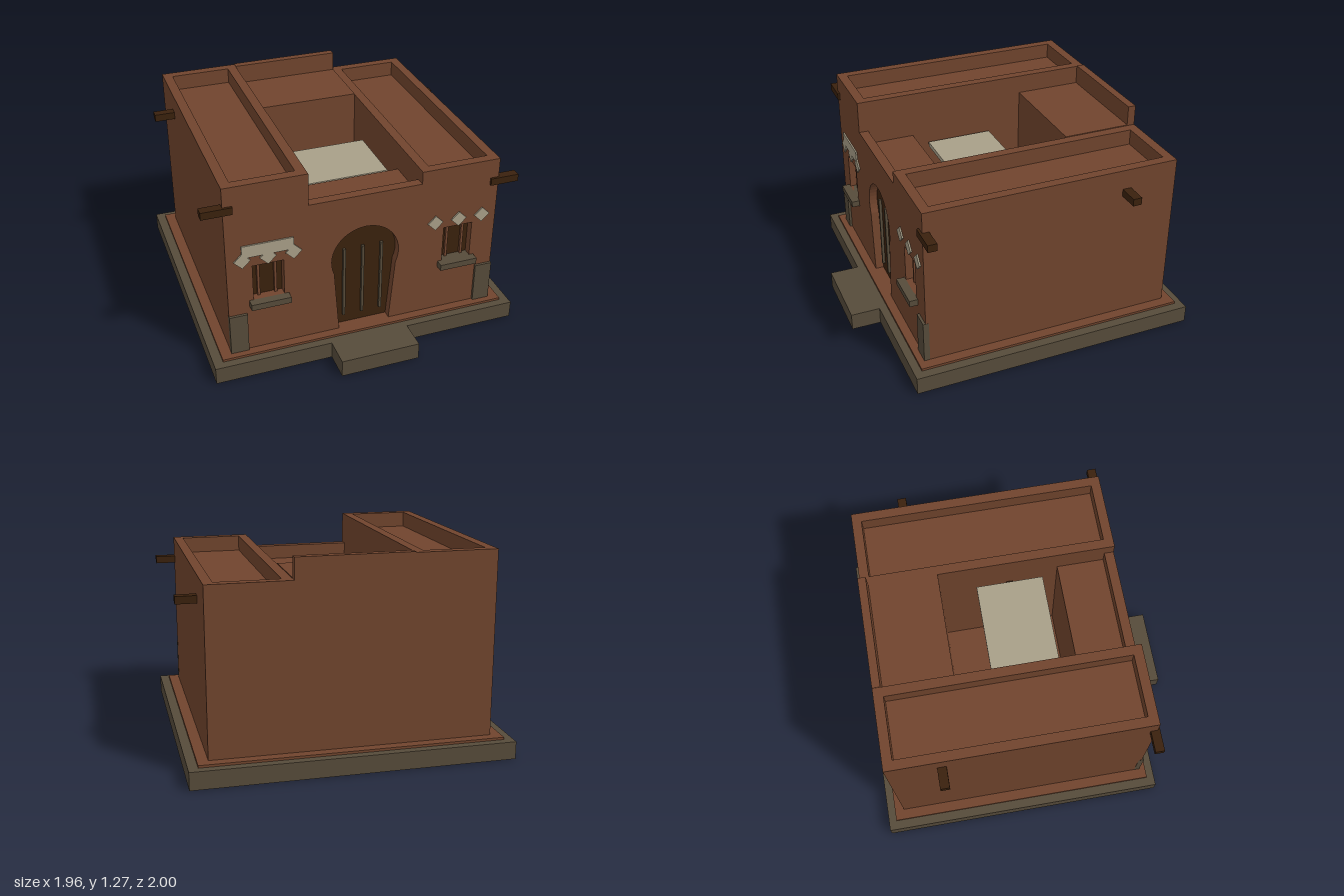
import * as THREE from 'three';

const mat = (name, color) => {
  const m = new THREE.MeshStandardMaterial({ color });
  m.name = name;
  return m;
};

export function createModel() {
  const clay = mat('clay', 0x70442d);
  const stone = mat('stone', 0x564b3a);
  const wood = mat('dark wood', 0x3a210d);
  const plaster = mat('pale plaster', 0xa89f88);
  const house = new THREE.Group();
  house.name = 'adobeHouse';

  const add = (name, geo, material) => {
    const mesh = new THREE.Mesh(geo, material);
    mesh.name = name;
    house.add(mesh);
    return mesh;
  };
  // Box given by its extents along each axis
  const box = (name, m, x0, x1, y0, y1, z0, z1) =>
    add(name, new THREE.BoxGeometry(x1 - x0, y1 - y0, z1 - z0), m)
      .position.set((x0 + x1) / 2, (y0 + y1) / 2, (z0 + z1) / 2);
  const extrude = (name, m, shape, z0, z1) =>
    add(name, new THREE.ExtrudeGeometry(shape, { depth: z1 - z0, bevelEnabled: false }), m).position.z = z0;
  const polygon = (pts) => new THREE.Shape(pts.map(([x, y]) => new THREE.Vector2(x, y)));

  const FLOOR = 0.125, BACK = -0.89, FRONT = 0.71, INNER = 0.65;
  const L = -0.355, R = 0.35, SIDE = 0.855;

  // Foundation, front step and clay plinth
  box('foundation', stone, -0.978, 0.978, 0, 0.11, -1, 0.815);
  box('frontStep', stone, -0.25, 0.25, 0, 0.11, 0.815, 1);
  box('plinth', clay, -0.92, 0.92, 0.11, FLOOR, -0.95, 0.765);

  // Keyhole doorway outline
  const doorPts = [[-0.165, FLOOR], [0.165, FLOOR]];
  for (let i = 0; i <= 28; i++) {
    const a = -0.4 + (i / 28) * (Math.PI + 0.8);
    doorPts.push([0.215 * Math.cos(a), 0.627 + 0.215 * Math.sin(a)]);
  }
  const windowPts = (x) => [[x - 0.095, 0.48], [x + 0.095, 0.48], [x + 0.095, 0.72], [x - 0.095, 0.72]];

  // Stepped facade with door and window openings
  const facade = polygon([[-SIDE, 0.115], [SIDE, 0.115], [SIDE, 1.14], [R, 1.14], [R, 1.06],
    [L, 1.06], [L, 1.265], [-SIDE, 1.265]]);
  facade.holes.push(polygon(doorPts));
  for (const x of [-0.605, 0.605]) facade.holes.push(polygon(windowPts(x)));
  extrude('facade', clay, facade, INNER, FRONT);

  // Side wings with parapets around sunken roofs
  const wing = (name, x0, x1, top) => {
    const roof = top - 0.1, t = 0.06;
    box(name + 'Body', clay, x0, x1, FLOOR, roof, BACK, INNER);
    box(name + 'ParapetA', clay, x0, x0 + t, roof, top, BACK, INNER);
    box(name + 'ParapetB', clay, x1 - t, x1, roof, top, BACK, INNER);
    box(name + 'ParapetBack', clay, x0 + t, x1 - t, roof, top, BACK, BACK + t);
  };
  wing('rightWing', -SIDE, L, 1.265);
  wing('leftWing', R, SIDE, 1.14);

  // Middle rooms around an open courtyard
  box('backRoom', clay, L, R, FLOOR, 1.145, -0.84, -0.41);
  box('backParapet', clay, L, R, FLOOR, 1.27, BACK, -0.84);
  box('frontRoom', clay, L, R, FLOOR, 0.97, 0.35, INNER);

  // Courtyard awning on a beam
  box('awningBeam', wood, -0.345, 0.34, 0.845, 0.885, 0.02, 0.06);
  box('awning', plaster, -0.328, 0.322, 0.885, 0.915, -0.178, 0.252);

  // Door panel and its bars
  extrude('doorPanel', wood, polygon(doorPts), INNER, INNER + 0.008);
  for (const x of [-0.12, 0, 0.12])
    box('doorBar', stone, x - 0.008, x + 0.008, 0.19, 0.68, INNER + 0.008, 0.675);

  for (const s of [-1, 1]) {
    const x = s * 0.605;
    // Windows
    extrude('windowPanel', wood, polygon(windowPts(x)), INNER, INNER + 0.008);
    for (const d of [-0.052, 0.052])
      box('windowBar', clay, x + d - 0.008, x + d + 0.008, 0.48, 0.71, INNER + 0.008, 0.675);
    box('windowSill', stone, x - 0.122, x + 0.122, 0.44, 0.48, INNER, 0.762);

    // Diamond ornaments
    for (const d of [-0.155, 0, 0.155]) {
      const c = x + d, r = 0.05;
      extrude('diamondOrnament', plaster,
        polygon([[c - r, 0.77], [c, 0.77 - r], [c + r, 0.77], [c, 0.77 + r]]), FRONT, FRONT + 0.009);
    }

    // Corner stones
    const inner = s * 0.745, outer = s * (SIDE + 0.001);
    box('cornerStone', stone, Math.min(inner, outer), Math.max(inner, outer), FLOOR, 0.392, 0.69, 0.726);

    // Projecting roof beams
    const y = s < 0 ? 1.122 : 0.992;
    for (const z of [-0.565, 0.695])
      box('roofBeam', wood, Math.min(s * 0.8, s * 0.982), Math.max(s * 0.8, s * 0.982),
        y - 0.023, y + 0.023, z - 0.026, z + 0.03);
  }
  box('plasterBand', plaster, -0.762, -0.45, 0.79, 0.87, FRONT, FRONT + 0.0095);

  return house;
}
